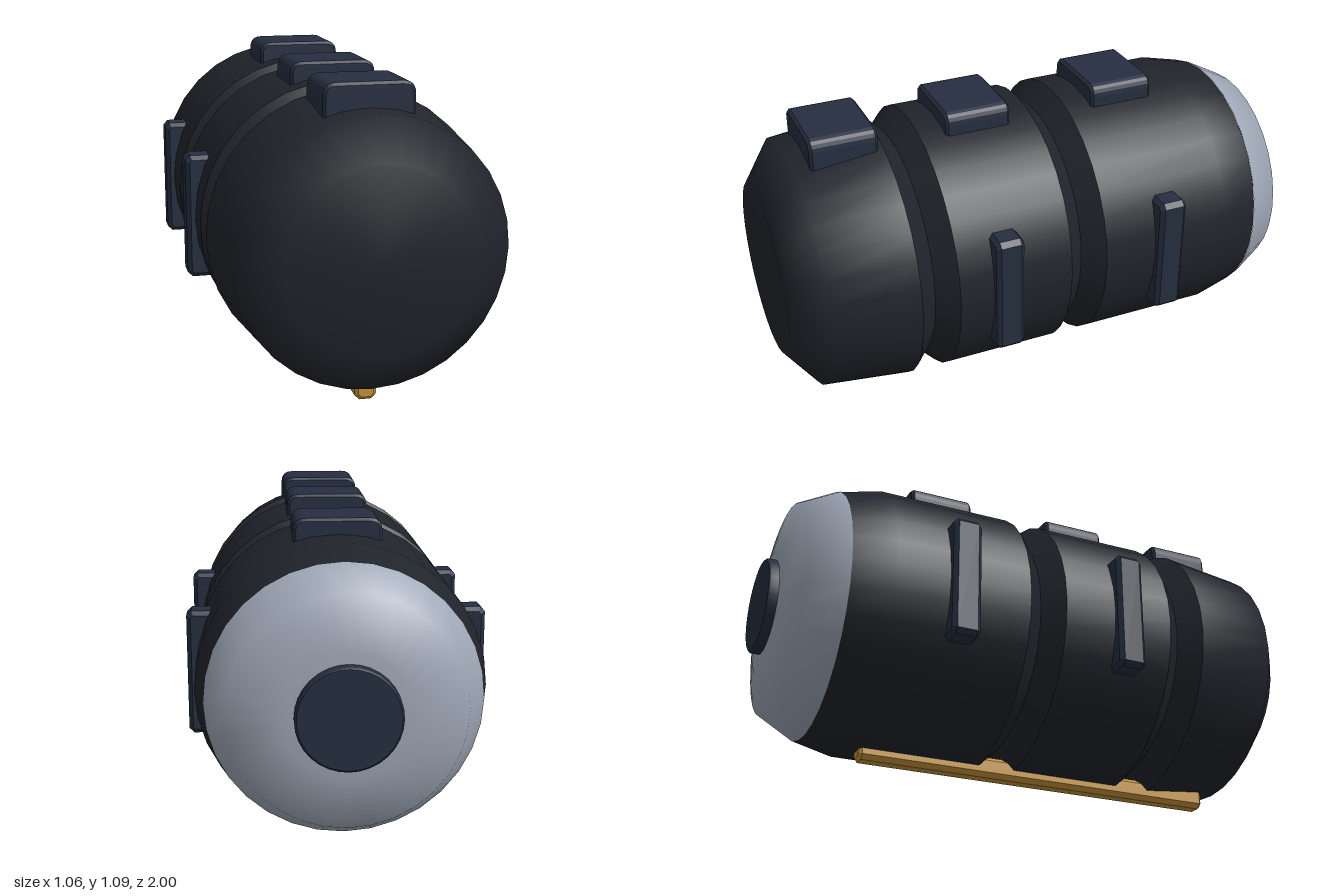
import * as THREE from 'three';

const AXIS_Y = 0.535;
const paint = (color) => new THREE.MeshStandardMaterial({ color });
const shellMat = paint(0x20242b);
const padMat = paint(0x252e40);
const capMat = paint(0x9fa8b7);
const goldMat = paint(0xc4923a);

export function createModel() {
  const model = new THREE.Group();

  const add = (name, geometry, material, x = 0, y = 0, z = 0) => {
    const mesh = new THREE.Mesh(geometry, material);
    mesh.name = name;
    mesh.position.set(x, y, z);
    model.add(mesh);
    return mesh;
  };

  // Turned section about the long axis; profile is [radius, z] from back to front
  const turned = (name, profile, material, sides = 32) => {
    const points = profile.map(([r, z]) => new THREE.Vector2(r, z));
    const geometry = new THREE.LatheGeometry(points, sides).rotateX(Math.PI / 2);
    return add(name, geometry, material, 0, AXIS_Y, 0);
  };

  // Prism along z with bevelled ends; the outline is drawn inset by the bevel
  const prism = (shape, length, bevel) =>
    new THREE.ExtrudeGeometry(shape, {
      depth: length - 2 * bevel, bevelEnabled: true, bevelThickness: bevel,
      bevelSize: bevel, bevelOffset: -bevel, bevelSegments: 1, curveSegments: 5,
    }).translate(0, 0, bevel - length / 2);

  // Rectangle with its four corners cut off
  const chamfered = (w, h, c) => {
    const a = w / 2, b = h / 2;
    return new THREE.Shape([
      [a - c, -b], [a, -b + c], [a, b - c], [a - c, b],
      [-a + c, b], [-a, b - c], [-a, -b + c], [-a + c, -b],
    ].map(([x, y]) => new THREE.Vector2(x, y)));
  };

  // Barrel sections
  turned('frontShell', [[0.5, 0.57], [0.465, 0.89], [0.32, 1], [0, 1]], shellMat);
  turned('middleShell', [[0.5, 0], [0.5, 0.43]], shellMat);
  turned('rearShell', [[0, -0.79], [0.465, -0.79]], shellMat);
  turned('rearShell', [[0.465, -0.79], [0.5, -0.64], [0.5, -0.14]], shellMat);

  // V-shaped grooves between the sections
  for (const z of [0.5, -0.07]) {
    turned('grooveRearWall', [[0.5, z - 0.07], [0.43, z]], shellMat);
    turned('grooveFrontWall', [[0.43, z], [0.5, z + 0.07]], shellMat);
  }

  // Rear cap and its round plate
  turned('rearCap', [[0, -0.965], [0.21, -0.965], [0.395, -0.925], [0.466, -0.79]], capMat);
  turned('rearPlateFace', [[0, -1], [0.168, -1]], padMat);
  turned('rearPlateRim', [[0.168, -1], [0.175, -0.993], [0.175, -0.95]], padMat);

  // Top pads with rounded upper corners
  const pad = new THREE.Shape();
  pad.moveTo(-0.155, 0.93);
  pad.lineTo(0.155, 0.93);
  pad.lineTo(0.155, 1.045);
  pad.quadraticCurveTo(0.155, 1.09, 0.11, 1.09);
  pad.lineTo(-0.11, 1.09);
  pad.quadraticCurveTo(-0.155, 1.09, -0.155, 1.045);
  pad.closePath();
  for (const z of [0.71, 0.215, -0.357]) add('topPad', prism(pad, 0.245, 0.01), padMat, 0, 0, z);

  // Upright side ribs, two on each side
  const ribGeometry = prism(chamfered(0.13, 0.45, 0.018), 0.105, 0.015);
  for (const side of [-1, 1]) {
    for (const z of [0.25, -0.393]) {
      add(side > 0 ? 'leftRib' : 'rightRib', ribGeometry, padMat, side * 0.465, AXIS_Y, z);
    }
  }

  // Underside rail
  add('bottomRail', prism(chamfered(0.076, 0.08, 0.017), 1.42, 0.012), goldMat, 0, 0.04, 0.11);

  return model;
}
